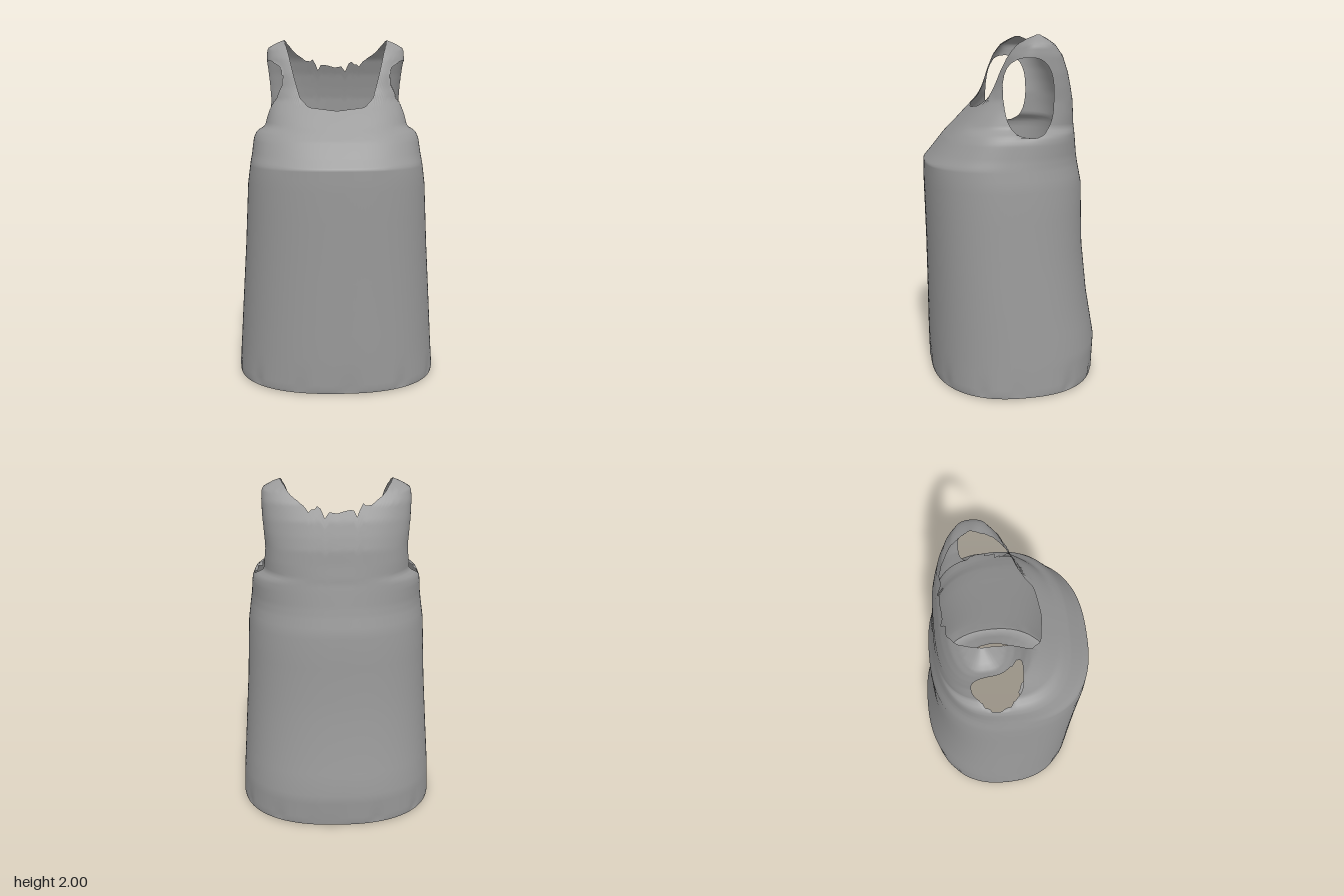
import * as THREE from 'three';

const COLS = 192;

// Body sections: height, half width, front z, back z, squareness
const SECTIONS = [
  [0.01, 0.595, 0.495, -0.495, 2.4], [0.03, 0.598, 0.5, -0.5, 2.4], [0.22, 0.585, 0.503, -0.51, 2.4],
  [0.5, 0.565, 0.503, -0.46, 2.4], [0.8, 0.543, 0.504, -0.425, 2.45], [1.17, 0.522, 0.51, -0.412, 2.5],
  [1.29, 0.505, 0.508, -0.388, 2.5], [1.34, 0.497, 0.465, -0.38, 2.5], [1.43, 0.487, 0.39, -0.368, 2.6],
  [1.47, 0.47, 0.35, -0.362, 2.7], [1.5, 0.422, 0.32, -0.36, 2.8], [1.57, 0.41, 0.25, -0.352, 3],
  [1.65, 0.4, 0.17, -0.345, 3], [1.72, 0.405, 0.135, -0.33, 3], [1.8, 0.41, 0.11, -0.31, 3],
  [1.89, 0.412, 0.07, -0.275, 3], [1.95, 0.408, 0.02, -0.225, 3], [1.98, 0.36, -0.03, -0.18, 3],
  [2.0, 0.31, -0.08, -0.14, 3],
];
// Neckline half width by height
const NECK_FRONT = [[1.59, 0], [1.61, 0.16], [1.66, 0.21], [1.8, 0.25], [1.92, 0.28], [2, 0.31]];
const NECK_BACK = [[1.83, 0], [1.855, 0.1], [1.88, 0.18], [1.93, 0.25], [2, 0.31]];

function lookUp(table, y) {
  let i = 0;
  while (i < table.length - 2 && table[i + 1][0] < y) i++;
  const t = THREE.MathUtils.clamp((y - table[i][0]) / (table[i + 1][0] - table[i][0]), 0, 1);
  return table[i].map((v, k) => THREE.MathUtils.lerp(v, table[i + 1][k], t));
}

const power = (v, p) => Math.sign(v) * Math.abs(v) ** p;

// Point on the cloth at a height and an angle measured from the front
function bodyPoint(angle, y) {
  const [, half, front, back, n] = lookUp(SECTIONS, y);
  return new THREE.Vector3(
    half * power(Math.sin(angle), 2 / n), y,
    (front + back) / 2 + (front - back) / 2 * power(Math.cos(angle), 2 / n));
}

// Height at which the neckline cuts a column
function neckHeight(angle) {
  const isFront = Math.cos(angle) > 0;
  const table = isFront ? NECK_FRONT : NECK_BACK;
  let y = table[0][0];
  while (y < 2 && Math.abs(bodyPoint(angle, y).x) >= lookUp(table, y)[1] - 1e-6) y += 0.002;
  const x = bodyPoint(angle, y).x;
  // ragged back edge
  if (!isFront && Math.abs(x) < 0.17) y += 0.022 * Math.sin(x * 75) + 0.012 * Math.sin(x * 140 + 1);
  return Math.min(y, 2);
}

// Armhole: a rounded opening seen from the side; below 1 is inside
const HOLE = { z: -0.045, y: 1.67, rz: 0.135, ry: 0.21, n: 2.6 };
function holeDistance(p) {
  return (Math.abs((p.z - HOLE.z) / HOLE.rz) ** HOLE.n + Math.abs((p.y - HOLE.y) / HOLE.ry) ** HOLE.n) ** (1 / HOLE.n);
}

// Closed grid of rows; faces wholly inside an armhole are left out
function gridGeometry(rows, pointAt, cutHoles) {
  const positions = [], inside = [], index = [];
  for (let j = 0; j < rows; j++) {
    for (let i = 0; i < COLS; i++) {
      const p = pointAt(i, j);
      const d = cutHoles ? holeDistance(p) : 2;
      inside.push(d < 1);
      if (d < 1 && d > 0.01) {
        p.z = HOLE.z + (p.z - HOLE.z) / d;
        p.y = HOLE.y + (p.y - HOLE.y) / d;
      }
      positions.push(p.x, p.y, p.z);
    }
  }
  for (let j = 0; j < rows - 1; j++) {
    for (let i = 0; i < COLS; i++) {
      const a = j * COLS + i, b = j * COLS + (i + 1) % COLS;
      for (const tri of [[a, b, b + COLS], [a, b + COLS, a + COLS]]) {
        if (!tri.every((v) => inside[v])) index.push(...tri);
      }
    }
  }
  const geometry = new THREE.BufferGeometry();
  geometry.setAttribute('position', new THREE.Float32BufferAttribute(positions, 3));
  geometry.setIndex(index);
  geometry.computeVertexNormals();
  return geometry;
}

export function createModel() {
  const group = new THREE.Group();
  group.name = 'sleevelessTop';
  const cloth = new THREE.MeshStandardMaterial({ color: 0x999999, side: THREE.DoubleSide });
  cloth.name = 'greyCloth';
  const add = (name, geometry) => {
    const mesh = new THREE.Mesh(geometry, cloth);
    mesh.name = name;
    group.add(mesh);
  };
  const angles = Array.from({ length: COLS }, (_, i) => (i / COLS) * Math.PI * 2);

  // Body, yoke and shoulder straps in one sheet
  const low = [0.01, 0.03, 0.06, 0.1, 0.16, 0.22, 0.35, 0.5, 0.65, 0.8, 1, 1.17, 1.23];
  const upperRows = 48, base = 1.28;
  const tops = angles.map(neckHeight);
  add('body', gridGeometry(low.length + upperRows, (i, j) => {
    if (j >= low.length) {
      const t = (j - low.length) / (upperRows - 1);
      return bodyPoint(angles[i], base + (tops[i] - base) * t);
    }
    const p = bodyPoint(angles[i], low[j]);
    // puckers just above the hem
    if (j > 0 && j < 4) {
      const s = 1 - 0.012 * Math.max(0, Math.sin(angles[i] * 13) + 0.6 * Math.sin(angles[i] * 22 + 1)) * (1 - j / 4);
      p.x *= s;
      p.z *= s;
    }
    return p;
  }, true));

  // Hem turned inward, with a notch at the front of its opening
  add('hem', gridGeometry(5, (i, j) => {
    const t = 1 - j / 4, angle = angles[i];
    const outer = bodyPoint(angle, 0.01);
    const s = Math.sin(angle), c = Math.cos(angle);
    const inner = new THREE.Vector3(0.46 * s, 0.05, (c > 0 ? 0.3 : 0.36) * power(c, 0.9));
    if (c > 0) inner.z -= 0.14 * Math.exp(-((inner.x / 0.16) ** 4));
    inner.z += 0.006 * Math.sin(angle * 41);
    const p = outer.clone().lerp(inner, t);
    p.y = 0.01 + 0.035 * t * t - 0.01 * Math.sin(Math.PI * Math.min(1, t * 2));
    return p;
  }, false));

  return group;
}
